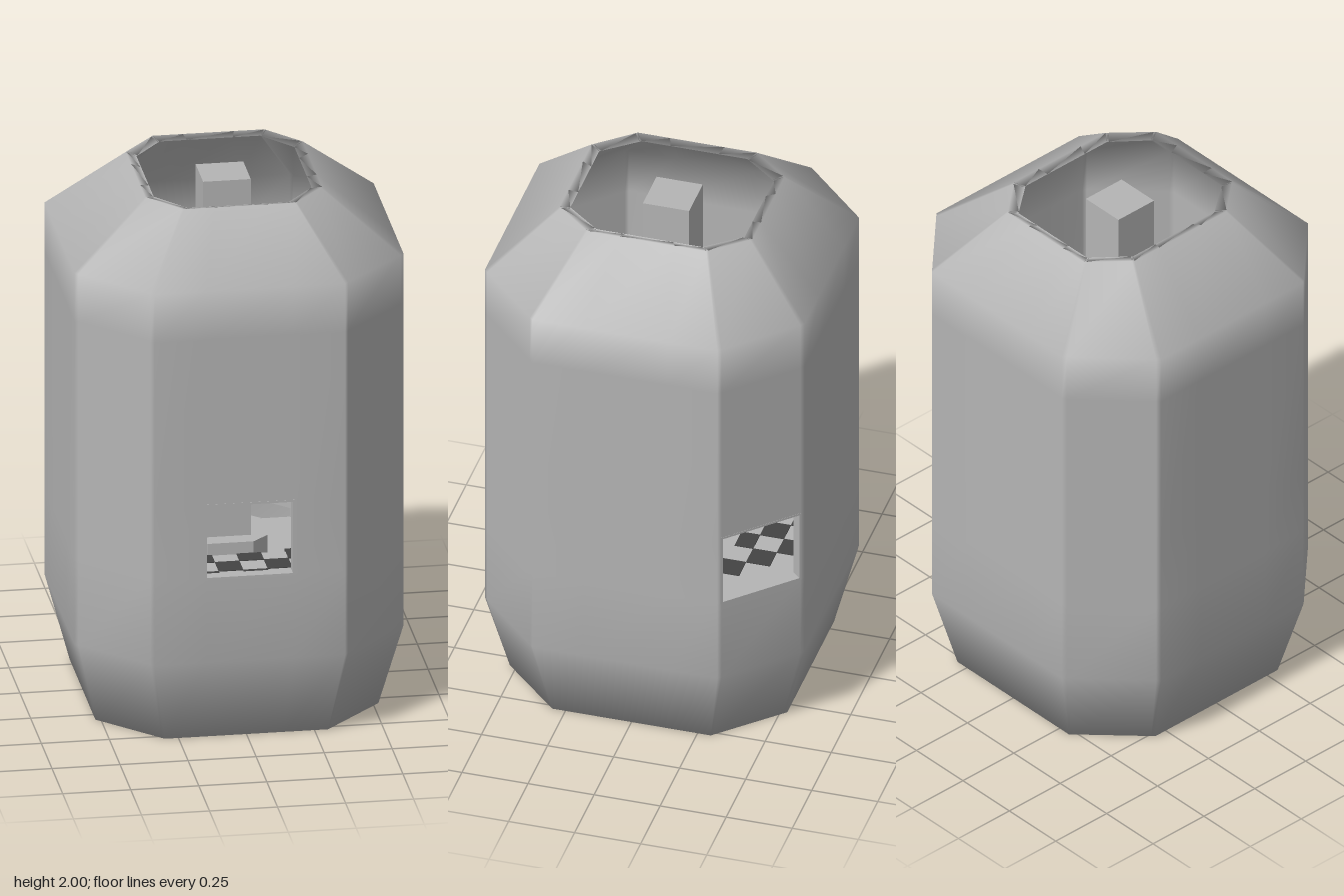
import * as THREE from 'three';
import { mergeGeometries } from 'three/addons/utils/BufferGeometryUtils.js';

const grey = new THREE.MeshStandardMaterial({ color: 0xb4b4b4 });
grey.name = 'stoneGrey';
const dark = new THREE.MeshStandardMaterial({ color: 0x444444 });
dark.name = 'darkTile';

// Chamfered rectangle: half extents ax, az and the half lengths bx, bz of its straight sides
const octagon = (ax, az, bx, bz) => [
  [-bx, az], [bx, az], [ax, bz], [ax, -bz], [bx, -az], [-bx, -az], [-ax, -bz], [-ax, bz],
];

// Closed smooth shell lofted through octagons, with two window openings
function shellGeometry() {
  const W = [0.605, 0.605, 0.35, 0.35], I = [0.565, 0.565, 0.33, 0.33];
  const rows = [
    [0, 0, 0, 0, 0], [0, 0.52, 0.525, 0.3, 0.3], [0.32, ...W], [0.65, ...W], [0.93, ...W],
    [1.58, ...W], [1.77, ...W], [2, 0.325, 0.365, 0.205, 0.225], [1.99, 0.29, 0.33, 0.185, 0.2],
    [1.74, ...I], [1.56, ...I], [0.93, ...I], [0.65, ...I], [0.32, ...I],
    [0.04, 0.48, 0.48, 0.28, 0.28], [0.04, 0, 0, 0, 0],
  ];
  const positions = [], index = [], n = 24;
  for (const [y, ...size] of rows) {
    const ring = octagon(...size);
    for (let s = 0; s < 8; s++) {
      const a = ring[s], b = ring[(s + 1) % 8], r = s % 2 ? 0.9 : 0.457;
      for (const t of [0, (1 - r) / 2, (1 + r) / 2]) {
        positions.push(a[0] + (b[0] - a[0]) * t, y, a[1] + (b[1] - a[1]) * t);
      }
    }
  }
  for (let j = 0; j < rows.length - 1; j++) {
    for (let i = 0; i < n; i++) {
      const windowRow = j === 3 || j === 11;
      if (windowRow && (i === 1 || i === 10)) continue;
      const k = (i + 1) % n, a = j * n + i, b = j * n + k, c = b + n, d = a + n;
      if (j > 0) index.push(a, b, c);
      if (j < rows.length - 2) index.push(a, c, d);
      else index.push(a, b, c);
      if (j === 0) index.push(b, c, d);
    }
  }
  // the first row is a single point, so only its outer triangles are kept
  const clean = [];
  const key = (v) => positions.slice(v * 3, v * 3 + 3).map((p) => p.toFixed(4)).join();
  for (let t = 0; t < index.length; t += 3) {
    const f = index.slice(t, t + 3);
    if (new Set(f.map(key)).size === 3) clean.push(...f);
  }
  const seen = new Set();
  const unique = [];
  for (let t = 0; t < clean.length; t += 3) {
    const f = clean.slice(t, t + 3), id = [...f].sort((p, q) => p - q).join();
    if (!seen.has(id)) { seen.add(id); unique.push(...f); }
  }
  const g = new THREE.BufferGeometry();
  g.setAttribute('position', new THREE.Float32BufferAttribute(positions, 3));
  g.setIndex(unique);
  g.computeVertexNormals();
  return g;
}

const path = (pts) => pts.map(([x, z]) => new THREE.Vector2(x, -z));

// Horizontal octagonal slab with an optional opening, top at y
function slab(size, y, height, opening) {
  const shape = new THREE.Shape(path(octagon(...size)));
  if (opening) shape.holes.push(new THREE.Path(path(octagon(...opening))));
  const g = new THREE.ExtrudeGeometry(shape, { depth: height, bevelEnabled: false });
  return g.rotateX(-Math.PI / 2).translate(0, y - height, 0);
}

// Dark squares of the chequered walkway, trimmed at its inner edge
function tiles(y) {
  const c = 0.09, list = [];
  for (let i = -6; i < 6; i++) {
    for (let j = -6; j < 6; j++) {
      if ((i + j) % 2 === 0) continue;
      const mx = (i + 0.5) * c, mz = (j + 0.5) * c, px = Math.abs(mx), pz = Math.abs(mz);
      if (px > 0.52 || pz > 0.52 || px + pz > 0.8) continue;
      if (px < 0.28 && pz < 0.29 && px + pz < 0.47) continue;
      let [x0, x1, z0, z1] = [px - c / 2, px + c / 2, pz - c / 2, pz + c / 2];
      if (px < 0.2) z0 = Math.max(z0, 0.29);
      if (pz < 0.2) x0 = Math.max(x0, 0.28);
      if (x1 - x0 < 0.005 || z1 - z0 < 0.005) continue;
      list.push(new THREE.BoxGeometry(x1 - x0, 0.036, z1 - z0).translate(
        Math.sign(mx) * (x0 + x1) / 2, y - 0.015, Math.sign(mz) * (z0 + z1) / 2));
    }
  }
  return mergeGeometries(list);
}

// Lining of a window opening
function windowFrame() {
  const rect = (w, h) => path([[-w, h], [w, h], [w, -h], [-w, -h]]);
  const shape = new THREE.Shape(rect(0.167, 0.147));
  shape.holes.push(new THREE.Path(rect(0.158, 0.139)));
  return new THREE.ExtrudeGeometry(shape, { depth: 0.044, bevelEnabled: false });
}

export function createModel() {
  const group = new THREE.Group();
  const add = (name, geometry, material = grey) => {
    const mesh = new THREE.Mesh(geometry, material);
    mesh.name = name;
    group.add(mesh);
    return mesh;
  };
  const box = (name, x0, x1, y0, y1, z0, z1) => add(name,
    new THREE.BoxGeometry(x1 - x0, y1 - y0, z1 - z0)
      .translate((x0 + x1) / 2, (y0 + y1) / 2, (z0 + z1) / 2));

  add('outerShell', shellGeometry());

  // Window linings on the front and the back left chamfer
  add('frontWindowFrame', windowFrame()).position.set(0, 0.79, 0.562);
  const rear = add('rearWindowFrame', windowFrame());
  rear.rotation.y = Math.PI * 0.75;
  rear.position.set(0.447, 0.79, -0.447);

  // Chequered walkways below and above the windows
  for (const [name, y] of [['lowerWalkway', 0.61], ['upperWalkway', 1.0]]) {
    add(name, slab([0.567, 0.567, 0.33, 0.33], y, 0.03, [0.28, 0.29, 0.185, 0.195]));
    add(name + 'Tiles', tiles(y), dark);
  }

  // Core floor, plinth and central column
  add('coreFloor', slab([0.567, 0.567, 0.33, 0.33], 0.4, 0.03));
  add('plinth', slab([0.145, 0.14, 0.085, 0.085], 0.6, 0.2)).position.z = 0.01;
  box('centralColumn', -0.09, 0.085, 0.4, 1.99, -0.09, 0.085);
  box('consoleArm', -0.035, 0.06, 0.74, 0.82, -0.14, -0.09);
  box('console', -0.11, 0.13, 0.72, 0.84, -0.25, -0.13);
  return group;
}
